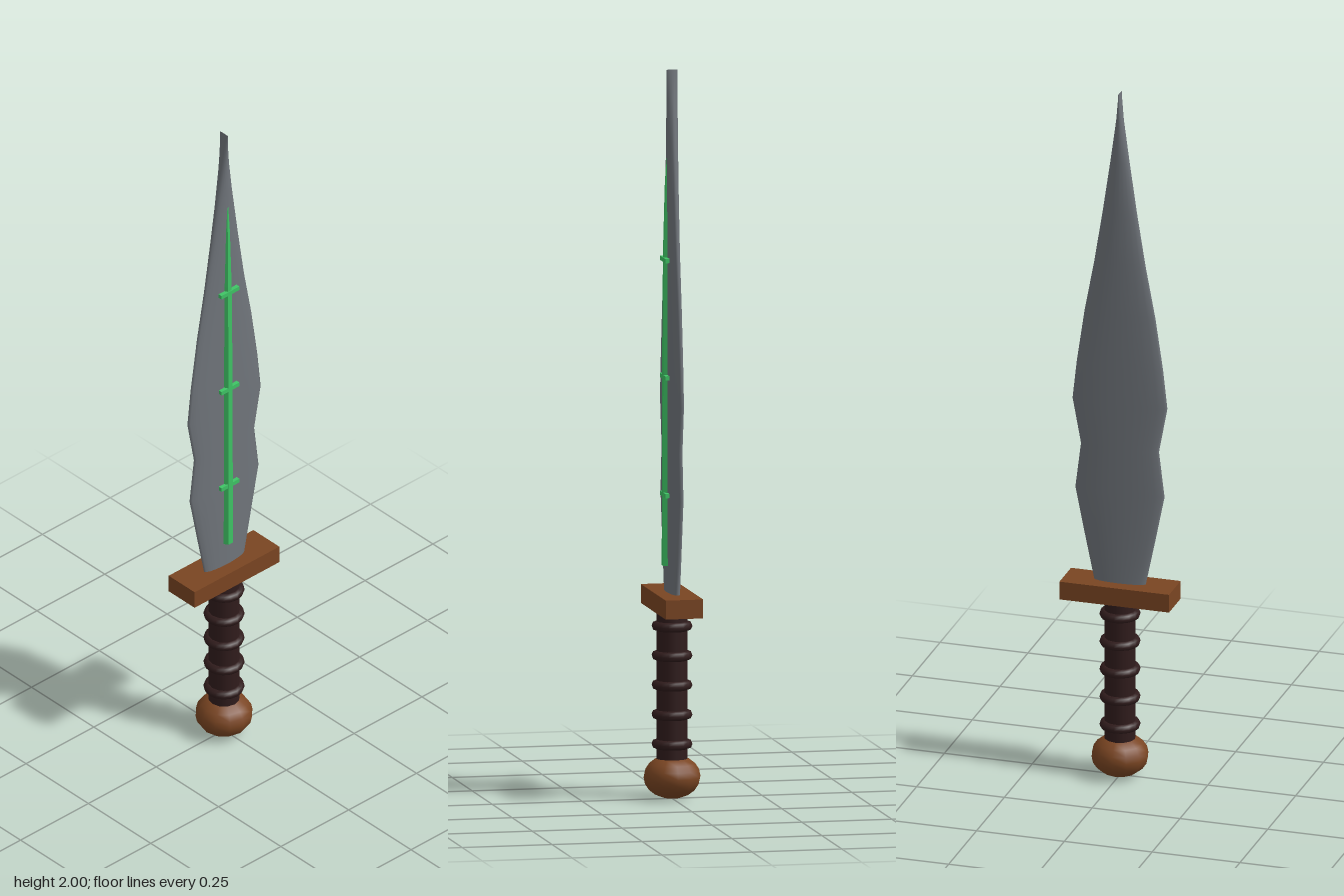
import * as THREE from 'three';
import { mergeVertices } from 'three/addons/utils/BufferGeometryUtils.js';

const paint = (name, color) => {
  const m = new THREE.MeshStandardMaterial({ color });
  m.name = name;
  return m;
};

// Blade outline: [height, half width]
const OUTLINE = [
  [0.56, 0.072], [0.7, 0.101], [0.83, 0.127], [0.96, 0.111], [1.09, 0.135], [1.2, 0.123],
  [1.35, 0.101], [1.5, 0.073], [1.65, 0.049], [1.8, 0.027], [1.92, 0.01], [2.0, 0.001],
];

// Elliptical column whose width follows the outline while its thickness stays constant
function bladeGeometry() {
  const rows = OUTLINE.length - 1;
  let g = new THREE.CylinderGeometry(1, 1, rows, 20, rows, true);
  g.deleteAttribute('uv');
  g.deleteAttribute('normal');
  g = mergeVertices(g);
  const p = g.attributes.position;
  for (let i = 0; i < p.count; i++) {
    const [y, w] = OUTLINE[Math.round(p.getY(i) + rows / 2)];
    p.setXYZ(i, p.getX(i) * w, y, p.getZ(i) * 0.0155);
  }
  g.computeVertexNormals();
  return g;
}

export function createModel() {
  const steel = paint('steel', 0x70757b);
  const wood = paint('wood', 0x7a4522);
  const leather = paint('leather', 0x301c1c);
  const green = paint('green', 0x3fc465);
  steel.side = THREE.DoubleSide;

  const model = new THREE.Group();
  const add = (name, geometry, material, y = 0, z = 0) => {
    const mesh = new THREE.Mesh(geometry, material);
    mesh.name = name;
    mesh.position.set(0, y, z);
    model.add(mesh);
    return mesh;
  };

  add('blade', bladeGeometry(), steel);

  // Six-sided inlay tapering to a point along the front of the blade
  const inlayProfile = [[0, 0.64], [0.0165, 0.64], [0.0155, 1.2], [0.013, 1.5], [0.008, 1.68], [0, 1.82]]
    .map(([x, y]) => new THREE.Vector2(x, y));
  const inlay = new THREE.LatheGeometry(inlayProfile, 6, Math.PI / 6).toNonIndexed();
  inlay.computeVertexNormals();
  add('inlay', inlay, green, 0, 0.0125);
  for (const y of [0.835, 1.158, 1.48]) {
    add('inlayBar', new THREE.BoxGeometry(0.066, 0.012, 0.014), green, y, 0.019);
  }

  // Hilt
  add('guard', new THREE.BoxGeometry(0.312, 0.052, 0.104), wood, 0.541);
  add('grip', new THREE.CylinderGeometry(0.043, 0.043, 0.42, 12), leather, 0.31);
  for (let i = 0; i < 5; i++) {
    const ring = new THREE.TorusGeometry(0.043, 0.013, 8, 16).rotateX(Math.PI / 2);
    add('gripRing', ring, leather, 0.15 + i * 0.081);
  }
  add('pommel', new THREE.SphereGeometry(0.079, 12, 10).scale(1, 0.76, 1), wood, 0.06);

  return model;
}
